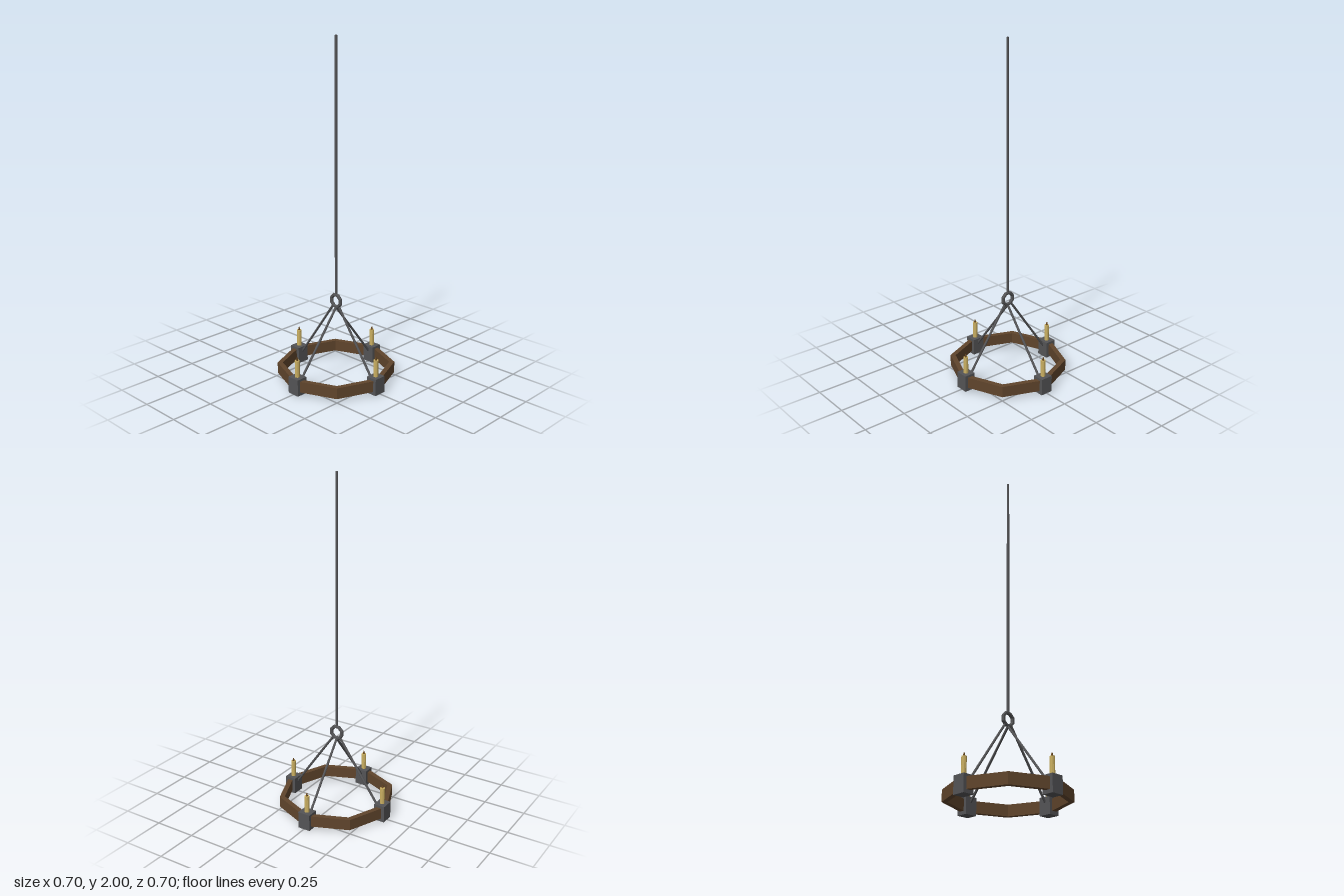
import * as THREE from 'three';

const mat = (name, color) => {
  const m = new THREE.MeshStandardMaterial({ color, flatShading: true });
  m.name = name;
  return m;
};

export function createModel() {
  const model = new THREE.Group();
  model.name = 'chandelier';
  const wood = mat('wood', 0x60452c);
  const iron = mat('iron', 0x545456);
  const wax = mat('wax', 0xcbb062);
  const wick = mat('wick', 0x6b4a22);

  const add = (parent, name, geometry, material, x = 0, y = 0, z = 0) => {
    const mesh = new THREE.Mesh(geometry, material);
    mesh.name = name;
    mesh.position.set(x, y, z);
    parent.add(mesh);
    return mesh;
  };

  // Straight iron rod between two points
  const rod = (parent, name, a, b, r) => {
    const dir = b.clone().sub(a);
    const mid = a.clone().add(b).multiplyScalar(0.5);
    const mesh = add(parent, name, new THREE.CylinderGeometry(r, r, dir.length(), 8), iron, mid.x, mid.y, mid.z);
    mesh.quaternion.setFromUnitVectors(new THREE.Vector3(0, 1, 0), dir.normalize());
  };

  // Eight-sided wooden hoop
  const octagon = (r) => Array.from({ length: 8 }, (_, i) =>
    new THREE.Vector2(r * Math.cos(i * Math.PI / 4), r * Math.sin(i * Math.PI / 4)));
  const hoopShape = new THREE.Shape(octagon(0.347));
  hoopShape.holes.push(new THREE.Path(octagon(0.316).reverse()));
  const hoopGeometry = new THREE.ExtrudeGeometry(hoopShape, { depth: 0.066, bevelEnabled: false });
  hoopGeometry.rotateX(-Math.PI / 2);
  add(model, 'woodenHoop', hoopGeometry, wood, 0, 0.02, 0);

  // Hanging rod and eight-sided ring
  rod(model, 'hangingRod', new THREE.Vector3(0, 0.51, 0), new THREE.Vector3(0, 2, 0), 0.0075);
  const ring = add(model, 'ring', new THREE.TorusGeometry(0.0375, 0.011, 6, 8), iron, 0, 0.475, 0);
  ring.rotation.z = Math.PI / 8;

  // Four arms, each with a bracket, candle and support rod
  for (let i = 0; i < 4; i++) {
    const arm = new THREE.Group();
    arm.name = 'arm';
    arm.rotation.y = i * Math.PI / 2;
    add(arm, 'bracket', new THREE.BoxGeometry(0.068, 0.1, 0.076), iron, 0.316, 0.05, 0);
    add(arm, 'candle', new THREE.CylinderGeometry(0.0145, 0.0145, 0.102, 10), wax, 0.316, 0.149, 0);
    const tip = new THREE.CylinderGeometry(0.003, 0.007, 0.02, 4);
    tip.rotateY(Math.PI / 4);
    add(arm, 'candleWick', tip, wick, 0.316, 0.209, 0);
    // The side rods meet the flanks of the ring, the others its base
    const top = i % 2 ? new THREE.Vector3(0, 0.435, 0) : new THREE.Vector3(0.024, 0.442, 0);
    rod(arm, 'supportRod', top, new THREE.Vector3(0.287, 0.07, 0), 0.007);
    model.add(arm);
  }
  return model;
}
